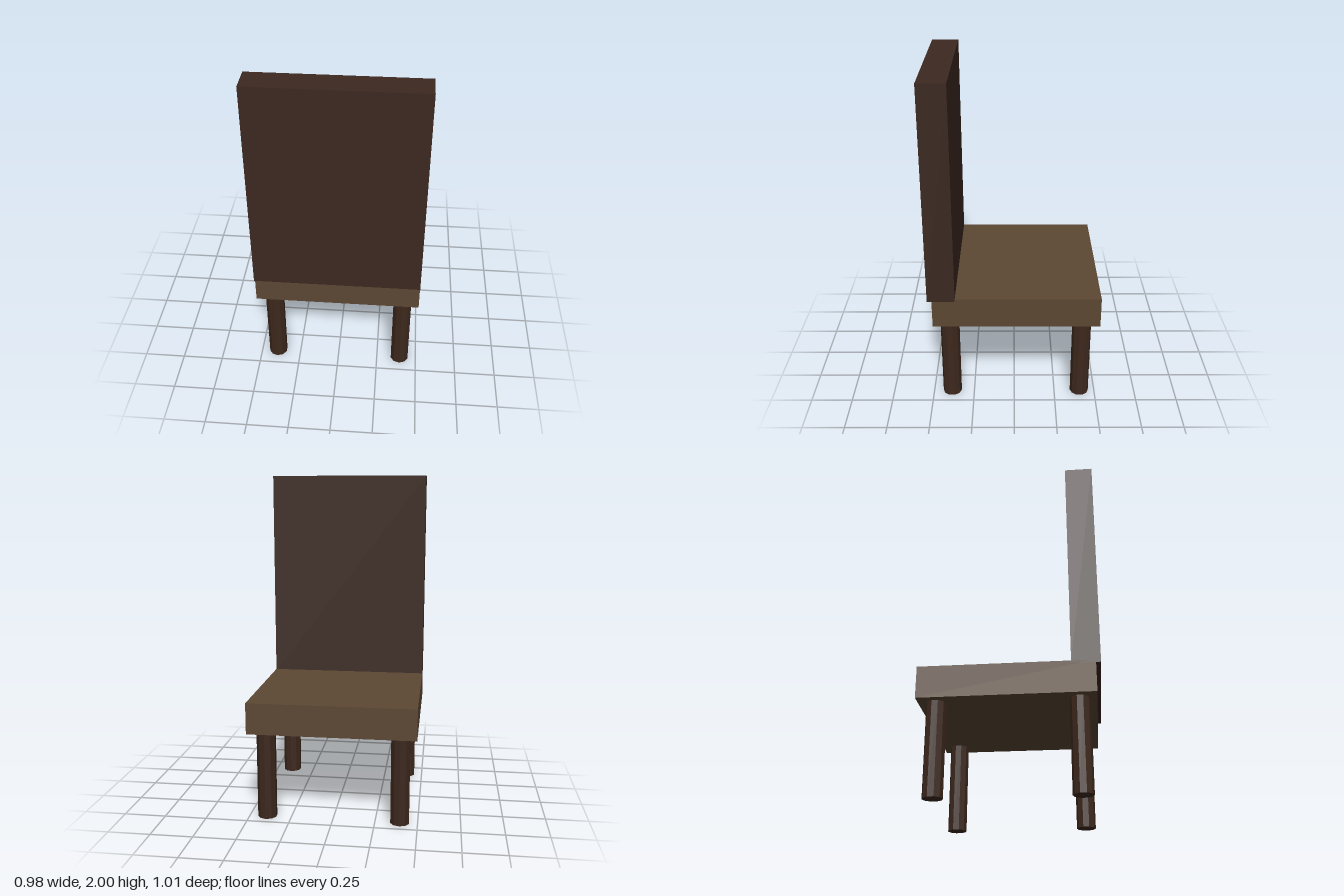
import * as THREE from 'three';

const material = (color) => new THREE.MeshStandardMaterial({ color, flatShading: true });

export function createModel() {
  const chair = new THREE.Group();
  chair.name = 'chair';

  const seatWood = material(0x5c4733);
  const backWood = material(0x3b2820);
  const legWood = material(0x3d281d);

  // Box given by its lower and upper limits in y and z; all share one width
  const slab = (name, y0, y1, z0, z1, mat) => {
    const mesh = new THREE.Mesh(new THREE.BoxGeometry(0.983, y1 - y0, z1 - z0), mat);
    mesh.position.set(0, (y0 + y1) / 2, (z0 + z1) / 2);
    mesh.name = name;
    chair.add(mesh);
  };

  slab('seat', 0.535, 0.72, -0.507, 0.48, seatWood);
  // Tall back panel, slightly overhanging the seat edge
  slab('backrest', 0.705, 2, 0.345, 0.507, backWood);

  // Four ten-sided legs
  const legHeight = 0.54;
  const legGeometry = new THREE.CylinderGeometry(0.057, 0.057, legHeight, 10);
  for (const [side, x] of [['left', 0.395], ['right', -0.395]]) {
    for (const [end, z] of [['PanelEnd', 0.386], ['OpenEnd', -0.406]]) {
      const leg = new THREE.Mesh(legGeometry, legWood);
      leg.position.set(x, legHeight / 2, z);
      leg.name = `${side}${end}Leg`;
      chair.add(leg);
    }
  }

  return chair;
}
